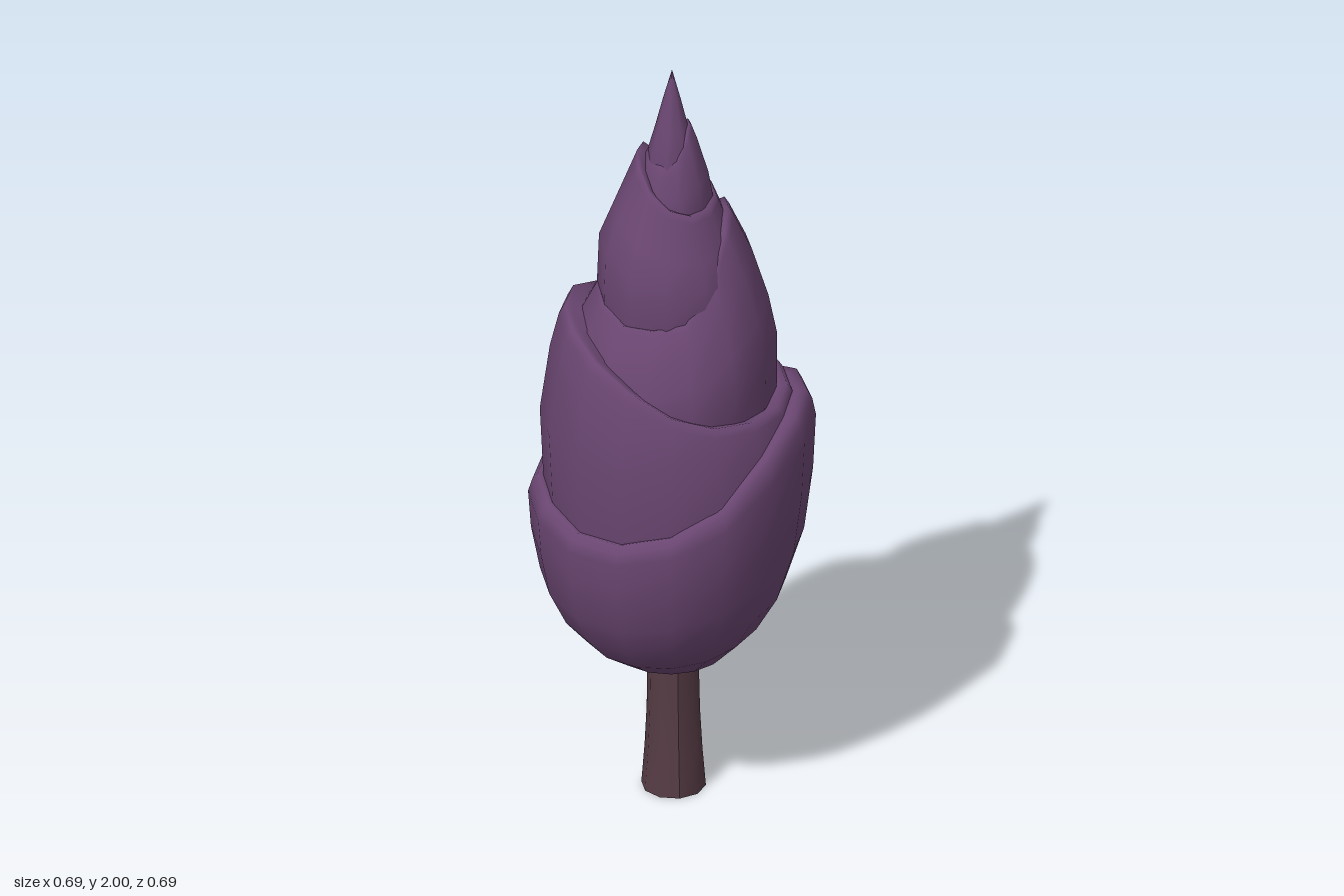
import * as THREE from 'three';

const foliage = new THREE.MeshStandardMaterial({ color: 0x6a4671 });
foliage.name = 'purple foliage';
const bark = new THREE.MeshStandardMaterial({ color: 0x553b44 });
bark.name = 'brown bark';

// Each tier is a cup with a slanting rim.
// rim: heights every 45 degrees, starting at +x and turning towards +z.
// profile: [share of the way from base to rim, radius]; flare widens the low side of the rim.
const tiers = [
  { name: 'bottomTier', sides: 16, base: 0.36, flare: 0, lip: 0.03,
    rim: [1.11, 1.09, 0.88, 0.81, 0.86, 0.86, 0.91, 1.02],
    profile: [[0, 0], [0.004, 0.1], [0.03, 0.145], [0.15, 0.225], [0.28, 0.28], [0.47, 0.325], [0.7, 0.347], [0.9, 0.354], [0.96, 0.345]] },
  { name: 'secondTier', sides: 16, base: 0.6, flare: 0.02, lip: 0.03,
    rim: [1.12, 1.11, 1.14, 1.26, 1.345, 1.33, 1.2, 1.12],
    profile: [[0, 0.28], [0.3, 0.315], [0.6, 0.325], [0.84, 0.3], [0.96, 0.278]] },
  { name: 'thirdTier', sides: 14, base: 0.95, flare: 0.055, lip: 0.025,
    rim: [1.635, 1.57, 1.38, 1.35, 1.4, 1.4, 1.43, 1.55],
    profile: [[0, 0.24], [0.26, 0.258], [0.47, 0.258], [0.63, 0.236], [0.82, 0.195], [0.97, 0.148]] },
  { name: 'fourthTier', sides: 12, base: 1.25, flare: 0.025, lip: 0.02,
    rim: [1.66, 1.645, 1.64, 1.7, 1.77, 1.77, 1.7, 1.66],
    profile: [[0, 0.17], [0.29, 0.185], [0.54, 0.18], [0.71, 0.145], [0.95, 0.096]] },
  { name: 'fifthTier', sides: 10, base: 1.58, flare: 0.02, lip: 0.014,
    rim: [1.865, 1.84, 1.77, 1.755, 1.77, 1.78, 1.79, 1.83],
    profile: [[0, 0.1], [0.25, 0.102], [0.5, 0.09], [0.83, 0.062], [0.96, 0.048]] },
  { name: 'tip', sides: 8, base: 1.68, flare: 0, lip: 0,
    rim: Array(8).fill(2),
    profile: [[0, 0.068], [0.25, 0.064], [0.5, 0.042], [0.75, 0.022], [1, 0]] },
];

function tierGeometry({ sides, base, flare, lip, rim, profile }) {
  const high = Math.max(...rim), low = Math.min(...rim);
  const last = profile[profile.length - 1][1];
  // Rounded lip, then a shelf sloping in behind the next tier
  const rings = profile.map(([t, r]) => [t, r, 0]);
  if (lip) rings.push([1, last - lip * 0.5, 0], [1, last - lip * 1.2, -lip * 0.2], [1, last * 0.35, -lip * 2]);
  const positions = [], index = [];
  rings.forEach(([t, r, drop], j) => {
    for (let i = 0; i < sides; i++) {
      const turn = (i + 0.5) / sides, k = turn * 8, n = Math.floor(k);
      const h = THREE.MathUtils.lerp(rim[n % 8], rim[(n + 1) % 8], k - n);
      const lowness = high > low ? (high - h) / (high - low) : 0;
      const radius = r + (r > 0 ? flare * lowness * t * t : 0);
      const a = turn * Math.PI * 2;
      positions.push(radius * Math.cos(a), base + t * (h - base) + drop, radius * Math.sin(a));
      if (j < rings.length - 1) {
        const p = j * sides + i, q = j * sides + (i + 1) % sides;
        if (rings[j][1] > 0) index.push(p, p + sides, q);
        if (rings[j + 1][1] > 0) index.push(q, p + sides, q + sides);
        else if (rings[j][1] === 0) index.push(p, p + sides, q + sides);
      }
    }
  });
  const geometry = new THREE.BufferGeometry();
  geometry.setAttribute('position', new THREE.Float32BufferAttribute(positions, 3));
  geometry.setIndex(index);
  geometry.computeVertexNormals();
  return geometry;
}

// Trunk: flared foot that leans back slightly as it rises
function trunkGeometry() {
  const geometry = new THREE.CylinderGeometry(0.064, 0.08, 0.42, 10, 4);
  geometry.translate(0, 0.21, 0);
  const p = geometry.attributes.position;
  for (let i = 0; i < p.count; i++) {
    const y = p.getY(i);
    const pinch = 1 - 0.08 * Math.sin((y / 0.42) * Math.PI);
    p.setXYZ(i, p.getX(i) * pinch, y, p.getZ(i) * pinch + 0.022 - 0.02 * y);
  }
  geometry.computeVertexNormals();
  return geometry;
}

export function createModel() {
  const tree = new THREE.Group();
  tree.name = 'tree';
  const trunk = new THREE.Mesh(trunkGeometry(), bark);
  trunk.name = 'trunk';
  tree.add(trunk);
  for (const tier of tiers) {
    const mesh = new THREE.Mesh(tierGeometry(tier), foliage);
    mesh.name = tier.name;
    tree.add(mesh);
  }
  return tree;
}
